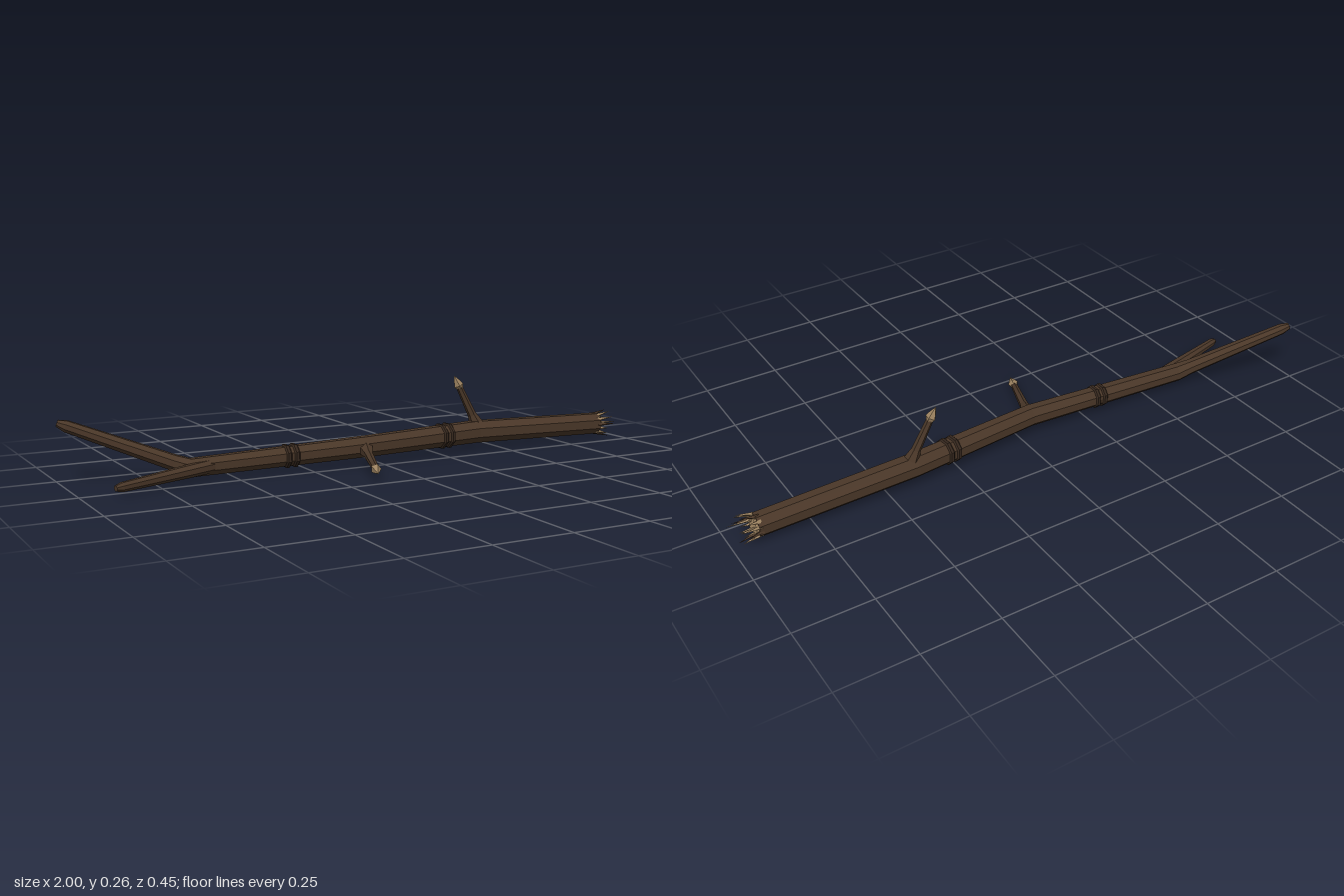
import * as THREE from 'three';

const mat = (color) => new THREE.MeshStandardMaterial({ color, flatShading: true, roughness: 0.95 });
const bark = mat(0x4a3728), darkBark = mat(0x35271d), wood = mat(0x9c8260);

let seed = 7;
const rand = () => (seed = (seed * 16807) % 2147483647) / 2147483647;

// Closed faceted tube through stations [x, y, z, radius]
function loft(name, stations, sides, material) {
  const pts = stations.map((s) => new THREE.Vector3(s[0], s[1], s[2]));
  const ref = Math.abs(pts[0].clone().sub(pts[1]).normalize().y) > 0.8
    ? new THREE.Vector3(0, 0, 1) : new THREE.Vector3(0, 1, 0);
  const rings = pts.map((p, i) => {
    const t = new THREE.Vector3();
    if (i > 0) t.add(p.clone().sub(pts[i - 1]).normalize());
    if (i < pts.length - 1) t.add(pts[i + 1].clone().sub(p).normalize());
    t.normalize();
    const u = new THREE.Vector3().crossVectors(t, ref).normalize();
    const v = new THREE.Vector3().crossVectors(t, u);
    return Array.from({ length: sides }, (_, j) => {
      const a = ((j + 0.5) / sides) * Math.PI * 2, r = stations[i][3];
      return p.clone().addScaledVector(u, Math.cos(a) * r).addScaledVector(v, Math.sin(a) * r);
    });
  });
  const tris = [], last = rings.length - 1;
  for (let j = 0; j < sides; j++) {
    const k = (j + 1) % sides;
    for (let i = 0; i < last; i++) {
      const [a, b, c, d] = [rings[i][j], rings[i][k], rings[i + 1][k], rings[i + 1][j]];
      tris.push(a, b, c, a, c, d);
    }
    tris.push(pts[0], rings[0][k], rings[0][j], pts[last], rings[last][j], rings[last][k]);
  }
  const geo = new THREE.BufferGeometry().setFromPoints(tris);
  geo.computeVertexNormals();
  const mesh = new THREE.Mesh(geo, material);
  mesh.name = name;
  return mesh;
}

// Station at fraction f between two points
const along = (a, b, f, r) => [0, 1, 2].map((i) => a[i] + (b[i] - a[i]) * f).concat(r);

// Side twig with a flared foot and a pale broken point
function twig(name, base, tip) {
  const g = new THREE.Group();
  g.name = name;
  g.add(loft('twigStem', [along(base, tip, 0, 0.027), along(base, tip, 0.13, 0.021),
    along(base, tip, 0.24, 0.015), along(base, tip, 0.8, 0.011)], 6, bark));
  g.add(loft('twigPoint', [along(base, tip, 0.74, 0.009), along(base, tip, 0.82, 0.017),
    along(base, tip, 0.9, 0.011), along(base, tip, 1, 0.0008)], 5, wood));
  return g;
}

export function createModel() {
  const model = new THREE.Group();
  model.name = 'brokenBranch';

  // Main trunk, bending gently, flowing into the raised fork arm
  const trunk = [[0.92, 0.043, -0.086], [0.4, 0.055, -0.088], [-0.05, 0.051, -0.043], [-0.64, 0.034, -0.068]];
  const radii = [0.039, 0.04, 0.036, 0.031];
  const arm = [-0.985, 0.173, -0.211];
  model.add(loft('trunk', [...trunk.map((p, i) => [...p, radii[i]]),
    along(trunk[3], arm, 0.12, 0.026), along(trunk[3], arm, 0.97, 0.019),
    along(trunk[3], arm, 1.04, 0.011)], 8, bark));

  // Lower fork arm
  const fork = [-0.56, 0.036, -0.06], forkEnd = [-0.895, 0.02, 0.043];
  model.add(loft('forkArm', [along(fork, forkEnd, 0, 0.022), along(fork, forkEnd, 0.3, 0.021),
    along(fork, forkEnd, 0.97, 0.015), along(fork, forkEnd, 1.03, 0.009)], 8, bark));

  // Paired bark ridges around the trunk
  for (const [n, x] of [[2, -0.325], [2, -0.298], [1, 0.255], [1, 0.283]]) {
    const a = trunk[n], b = trunk[n + 1], f = (x - a[0]) / (b[0] - a[0]), h = 0.009 / Math.abs(b[0] - a[0]);
    const r = radii[n] + (radii[n + 1] - radii[n]) * f;
    model.add(loft('barkRidge', [along(a, b, f - h, r), along(a, b, f - h * 0.5, r + 0.005),
      along(a, b, f + h * 0.5, r + 0.005), along(a, b, f + h, r)], 8, darkBark));
  }

  // Two side twigs
  model.add(twig('frontTwig', [-0.055, 0.046, -0.03], [-0.148, 0.02, 0.227]));
  model.add(twig('upperTwig', [0.415, 0.07, -0.09], [0.328, 0.25, -0.105]));

  // Snapped end: pale uneven core with splinters
  const end = new THREE.Group();
  end.name = 'snappedEnd';
  end.position.set(0.915, 0.043, -0.086);
  end.add(loft('brokenCore', [[-0.01, 0, 0, 0.036], [0.012, 0, 0, 0.032], [0.022, 0, 0, 0.018],
    [0.014, 0, 0, 0.005]], 8, wood));
  const spike = (a, r, len, radius, lean, material) => {
    const geo = new THREE.ConeGeometry(radius, len, 4).translate(0, len / 2, 0);
    const m = new THREE.Mesh(geo, material);
    m.name = 'splinter';
    const out = new THREE.Vector3(0, Math.sin(a), Math.cos(a));
    m.position.copy(out).multiplyScalar(r).setX(-0.005);
    m.quaternion.setFromUnitVectors(new THREE.Vector3(0, 1, 0),
      new THREE.Vector3(1, 0, 0).addScaledVector(out, lean).normalize());
    end.add(m);
  };
  for (let i = 0; i < 12; i++) {
    const a = ((i + rand() * 0.5) / 12) * Math.PI * 2;
    spike(a, 0.031, 0.04 + rand() * 0.03, 0.008, 0.12 + rand() * 0.2, i % 3 ? wood : bark);
  }
  for (let i = 0; i < 5; i++) spike(i * 1.256 + 0.3, 0.018, 0.045 + rand() * 0.02, 0.006, 0.1, wood);
  spike(0.2, 0.024, 0.088, 0.007, 0.05, wood);
  model.add(end);
  return model;
}
